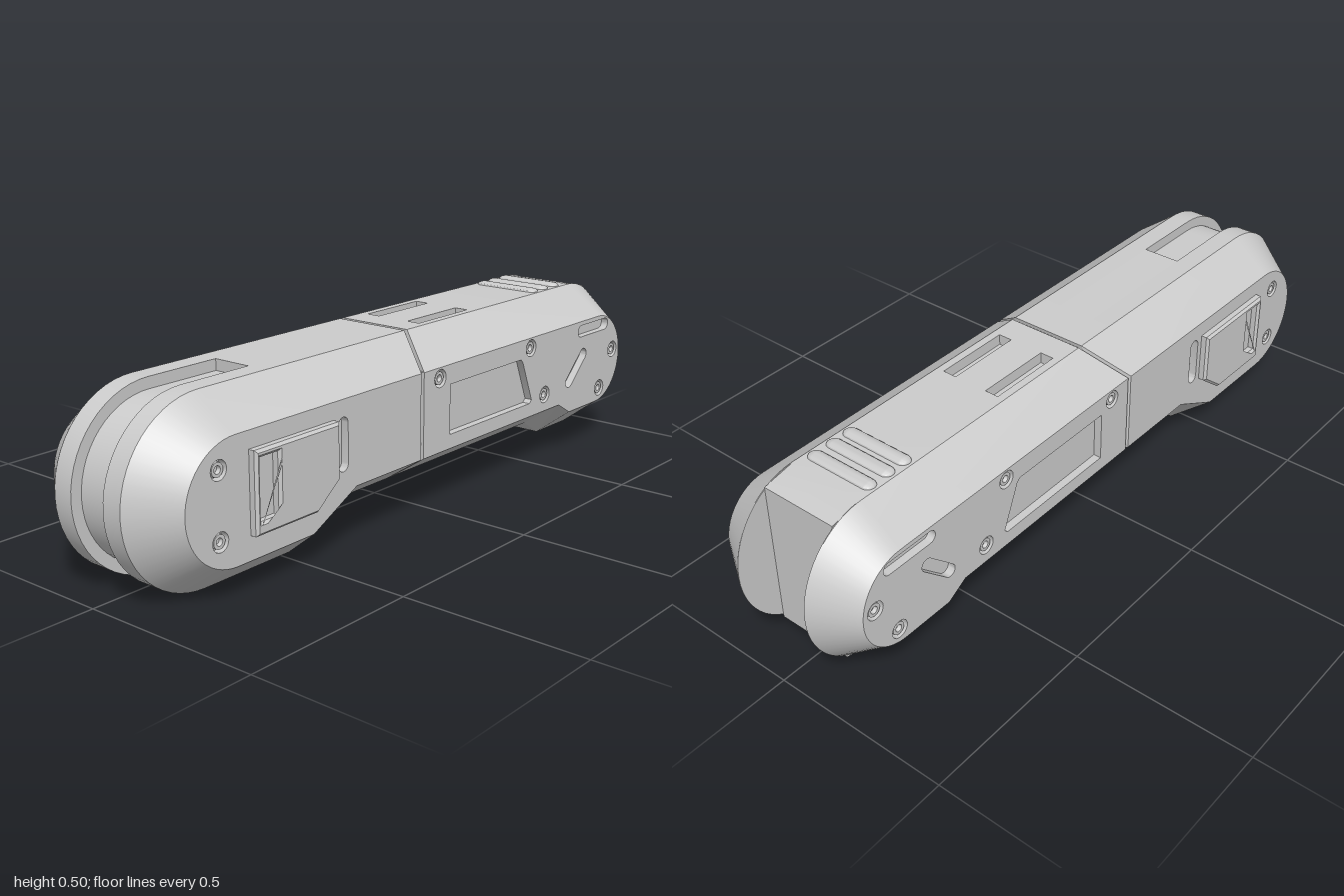
import * as THREE from 'three';
import { toCreasedNormals } from 'three/addons/utils/BufferGeometryUtils.js';

// All outlines are lists of [z, y], counter-clockwise as seen from +x.
const material = new THREE.MeshStandardMaterial({ color: 0xcccccc });
const SIDE_X = 0.225, EDGE_X = 0.11, GROOVE_X = 0.055;

const toPath = (pts, Kind = THREE.Shape) => new Kind(pts.map(([z, y]) => new THREE.Vector2(-z, y)));

function arc(cz, cy, rz, ry, from, to, n = 28) {
  const pts = [];
  for (let i = 0; i <= n; i++) {
    const a = from + (to - from) * i / n;
    pts.push([cz + rz * Math.cos(a), cy + ry * Math.sin(a)]);
  }
  return pts;
}

const disc = (z, y, r) => arc(z, y, r, r, 0, Math.PI * 2, 20).slice(0, -1);

// Round-ended slot between two points
function slot(z1, y1, z2, y2, r) {
  const a = Math.atan2(y2 - y1, z2 - z1), h = Math.PI / 2;
  return [...arc(z2, y2, r, r, a - h, a + h, 10), ...arc(z1, y1, r, r, a + h, a + 3 * h, 10)];
}

// Slab cut from an outline, extending along +x from x0
function slab(outline, x0, depth, holes = [], bevel = 0) {
  const shape = toPath(outline);
  shape.holes = holes.map((h) => toPath(h, THREE.Path));
  const g = new THREE.ExtrudeGeometry(shape, {
    depth: depth - 2 * bevel, bevelEnabled: bevel > 0, bevelSize: bevel,
    bevelThickness: bevel, bevelOffset: -bevel, bevelSegments: 1,
  });
  return g.translate(0, 0, bevel).rotateY(Math.PI / 2).translate(x0, 0, 0);
}

// Skin through outlines placed at increasing x
function loft(rings, xs) {
  const n = rings[0].length, pos = [], index = [];
  rings.forEach((ring, k) => ring.forEach(([z, y]) => pos.push(xs[k], y, z)));
  for (let k = 0; k < rings.length - 1; k++) {
    for (let i = 0; i < n; i++) {
      const a = k * n + i, b = k * n + (i + 1) % n;
      index.push(a, b, a + n, b, b + n, a + n);
    }
  }
  const g = new THREE.BufferGeometry();
  g.setAttribute('position', new THREE.Float32BufferAttribute(pos, 3));
  g.setIndex(index);
  return g;
}

// Reflected copy across x = 0 with the winding put right
function mirrored(geometry) {
  const g = geometry.clone().scale(-1, 1, 1);
  for (const key of ['position', 'normal']) {
    const a = g.attributes[key];
    for (let i = 0; i < a.count; i += 3) {
      const p = [a.getX(i), a.getY(i), a.getZ(i)];
      a.setXYZ(i, a.getX(i + 2), a.getY(i + 2), a.getZ(i + 2));
      a.setXYZ(i + 2, ...p);
    }
  }
  return g;
}

// Outlines of the two halves: o = 0 at the outer edge, o = 1 at the side face
const frontRing = (o) => [
  [0.012 + 0.07 * o, 0.485 - 0.085 * o],
  ...arc(0.757, 0.2425, 0.2425 - 0.085 * o, 0.2425 - 0.085 * o, Math.PI / 2, -Math.PI / 2),
  [0.47 + 0.03 * o, 0.085 * o], [0.34, 0.09 + 0.075 * o], [0.082, 0.09 + 0.075 * o],
];
const rearRing = (o) => [
  [0.07, 0.09 + 0.075 * o], [-0.58 - 0.01 * o, 0.09 + 0.075 * o], [-0.65, 0.045 + 0.085 * o],
  ...arc(-0.8, 0.265, 0.2 - 0.07 * o, 0.22 - 0.085 * o, -Math.PI / 2, -Math.PI * 1.5),
  [0.07 * o, 0.485 - 0.085 * o],
];

export function createModel() {
  const model = new THREE.Group();

  function add(name, geometry) {
    const mesh = new THREE.Mesh(toCreasedNormals(geometry, 0.45), material);
    mesh.name = name;
    model.add(mesh);
    return mesh;
  }
  function addPair(name, geometry) {
    const left = add(name + 'Left', geometry);
    const right = new THREE.Mesh(mirrored(left.geometry), material);
    right.name = name + 'Right';
    model.add(right);
  }

  // Chamfered cheek: skin, inner wall, side panel with pockets, pocket floor
  function cheek(name, ring, innerX, pockets) {
    const outer = ring(0), inner = ring(1);
    addPair(name + 'Skin', loft([outer, outer, inner], [innerX, EDGE_X + 0.002, SIDE_X]));
    const wall = new THREE.ShapeGeometry(toPath(outer.map(([z, y]) => [-z, y])));
    addPair(name + 'InnerWall', wall.rotateY(-Math.PI / 2).translate(innerX, 0, 0));
    addPair(name + 'SidePanel', slab(inner, SIDE_X - 0.03, 0.03, pockets));
    const floor = new THREE.ShapeGeometry(toPath(inner));
    addPair(name + 'PocketFloor', floor.rotateY(Math.PI / 2).translate(SIDE_X - 0.022, 0, 0));
  }

  const frontScrews = [[0.81, 0.33], [0.81, 0.16]];
  const rearScrews = [[0, 0.37], [-0.43, 0.37], [-0.51, 0.215], [-0.89, 0.28], [-0.82, 0.17]];
  const screwHole = ([z, y]) => disc(z, y, 0.025);

  cheek('frontCheek', frontRing, GROOVE_X, [
    ...frontScrews.map(screwHole),
    slot(0.39, 0.233, 0.39, 0.337, 0.018),
  ]);
  cheek('rearCheek', rearRing, EDGE_X, [
    ...rearScrews.map(screwHole),
    [[-0.045, 0.205], [-0.43, 0.205], [-0.44, 0.215], [-0.39, 0.335], [-0.38, 0.345], [-0.045, 0.345]],
    slot(-0.702, 0.37, -0.838, 0.37, 0.0175),
    slot(-0.642, 0.225, -0.718, 0.297, 0.0175),
  ]);

  // Front core, recessed around the nose to leave the groove
  add('frontCore', slab([
    [0.012, 0.485], [0.54, 0.485], [0.54, 0.455],
    ...arc(0.757, 0.2425, 0.2125, 0.2125, Math.PI / 2, -Math.PI / 2),
    [0.5, 0.03], [0.5, 0], [0.47, 0], [0.34, 0.09], [0.082, 0.09],
  ], -GROOVE_X, 2 * GROOVE_X));

  // Rear core, cut flat between the cheeks
  add('rearCore', slab([
    [0.07, 0.09], [-0.58, 0.09], [-0.65, 0.045], [-0.8, 0.045], [-0.89, 0.06], [-0.89, 0.467],
    [-0.8, 0.485], [-0.45, 0.485], [-0.45, 0.455], [0, 0.455],
  ], -EDGE_X, 2 * EDGE_X));

  // Top plate with two slots
  const box = (x0, x1, z0, z1) => [[x0, -z1], [x1, -z1], [x1, -z0], [x0, -z0]].map((p) => new THREE.Vector2(...p));
  const plate = new THREE.Shape(box(-EDGE_X, EDGE_X, -0.45, 0));
  plate.holes = [-0.07, 0.07].map((x) => new THREE.Path(box(x - 0.02, x + 0.02, -0.3, -0.08)));
  add('topPlate', new THREE.ExtrudeGeometry(plate, { depth: 0.03, bevelEnabled: false })
    .rotateX(-Math.PI / 2).translate(0, 0.455, 0));

  // Inset filler behind the seam between the halves
  const fill = (y0, y1) => [[0.12, y0], [-0.03, y0], [-0.03, y1], [0.12, y1]];
  add('seamFiller', loft([fill(0.175, 0.39), fill(0.1, 0.474), fill(0.1, 0.474), fill(0.175, 0.39)],
    [-0.213, -0.105, 0.105, 0.213]));

  // Grip ribs
  for (const z of [-0.75, -0.69, -0.635]) {
    add('gripRib', new THREE.CapsuleGeometry(0.02, 0.17, 6, 16)
      .rotateZ(Math.PI / 2).scale(1, 0.5, 1).translate(0, 0.485, z));
  }

  // Raised latch plate with a window and two screws
  const latchScrews = [[0.608, 0.31], [0.608, 0.19]];
  addPair('latchPlate', slab(
    [[0.715, 0.355], [0.715, 0.147], [0.505, 0.147], [0.425, 0.21], [0.425, 0.355]],
    0.21, 0.038,
    [[[0.698, 0.18], [0.638, 0.18], [0.638, 0.335], [0.698, 0.335]], ...latchScrews.map(([z, y]) => disc(z, y, 0.018))],
    0.007));

  // Socket screws
  const profile = [[0.02, 0], [0.018, 0.018], [0.01, 0.018], [0.008, 0.008], [0, 0.008]]
    .map((p) => new THREE.Vector2(...p));
  const screw = (x, s) => ([z, y]) => addPair('screw',
    new THREE.LatheGeometry(profile, 20).scale(s, 1, s).rotateZ(-Math.PI / 2).translate(x, y, z));
  [...frontScrews, ...rearScrews].forEach(screw(SIDE_X - 0.022, 1));
  latchScrews.forEach(screw(SIDE_X, 0.7));

  return model;
}
